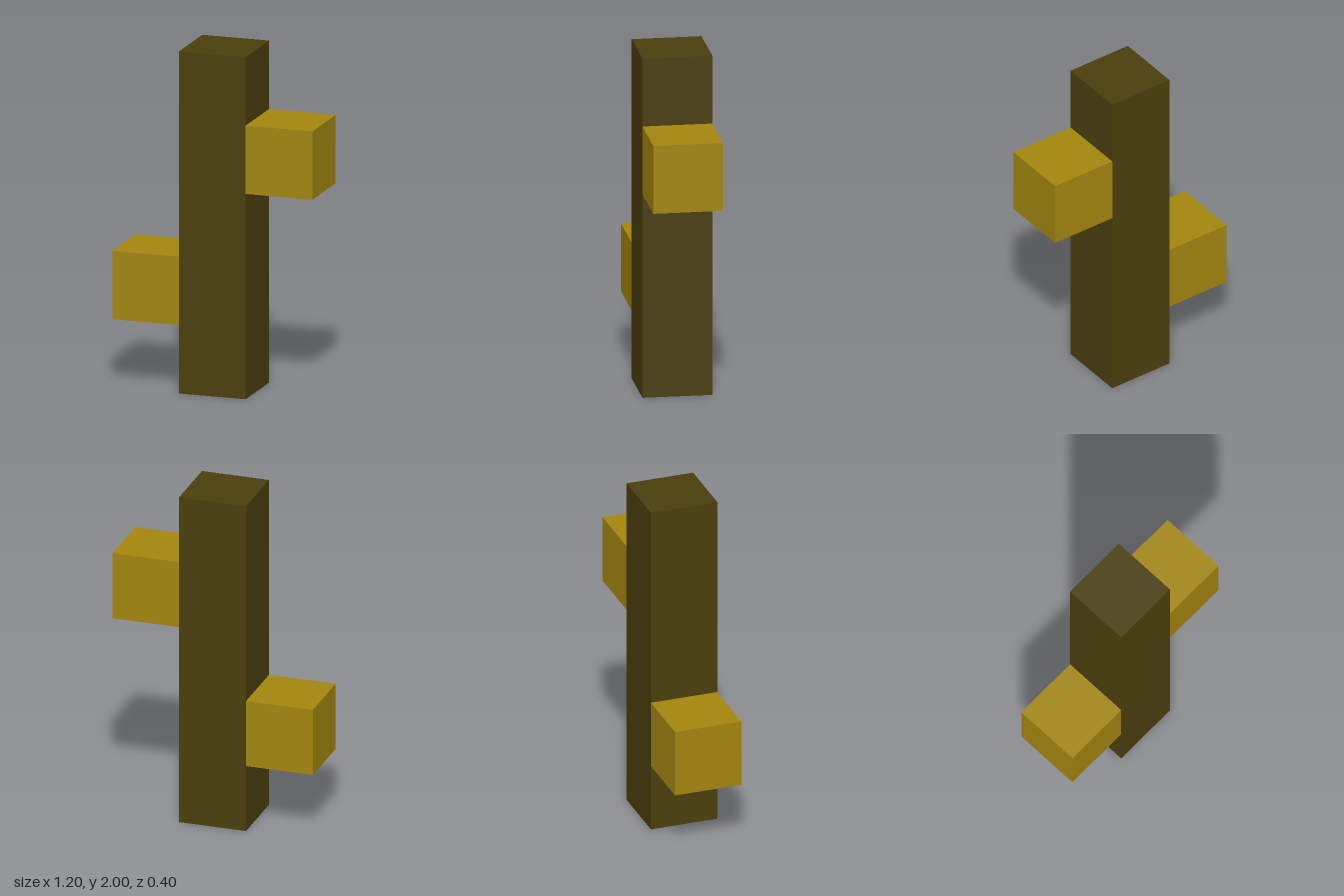
import * as THREE from 'three';

const material = (name, color) => {
  const m = new THREE.MeshStandardMaterial({ color });
  m.name = name;
  return m;
};

export function createModel() {
  const darkOlive = material('dark olive', 0x4a3f0d);
  const mustard = material('mustard', 0xa3860f);
  const grey = material('grey', 0x4a4a4a);
  const size = 0.4;
  const model = new THREE.Group();
  model.name = 'branchedPost';

  const addBox = (name, height, x, y, mat) => {
    const mesh = new THREE.Mesh(new THREE.BoxGeometry(size, height, size), mat);
    mesh.name = name;
    mesh.position.set(x, y, 0);
    model.add(mesh);
  };

  // Tall post with a grey underside (box face order: +x, -x, +y, -y, +z, -z)
  addBox('post', 2, 0, 1, [darkOlive, darkOlive, darkOlive, grey, darkOlive, darkOlive]);

  // One cube on each side, at staggered heights
  addBox('leftCube', size, size, 1.4, mustard);
  addBox('rightCube', size, -size, 0.6, mustard);

  return model;
}
